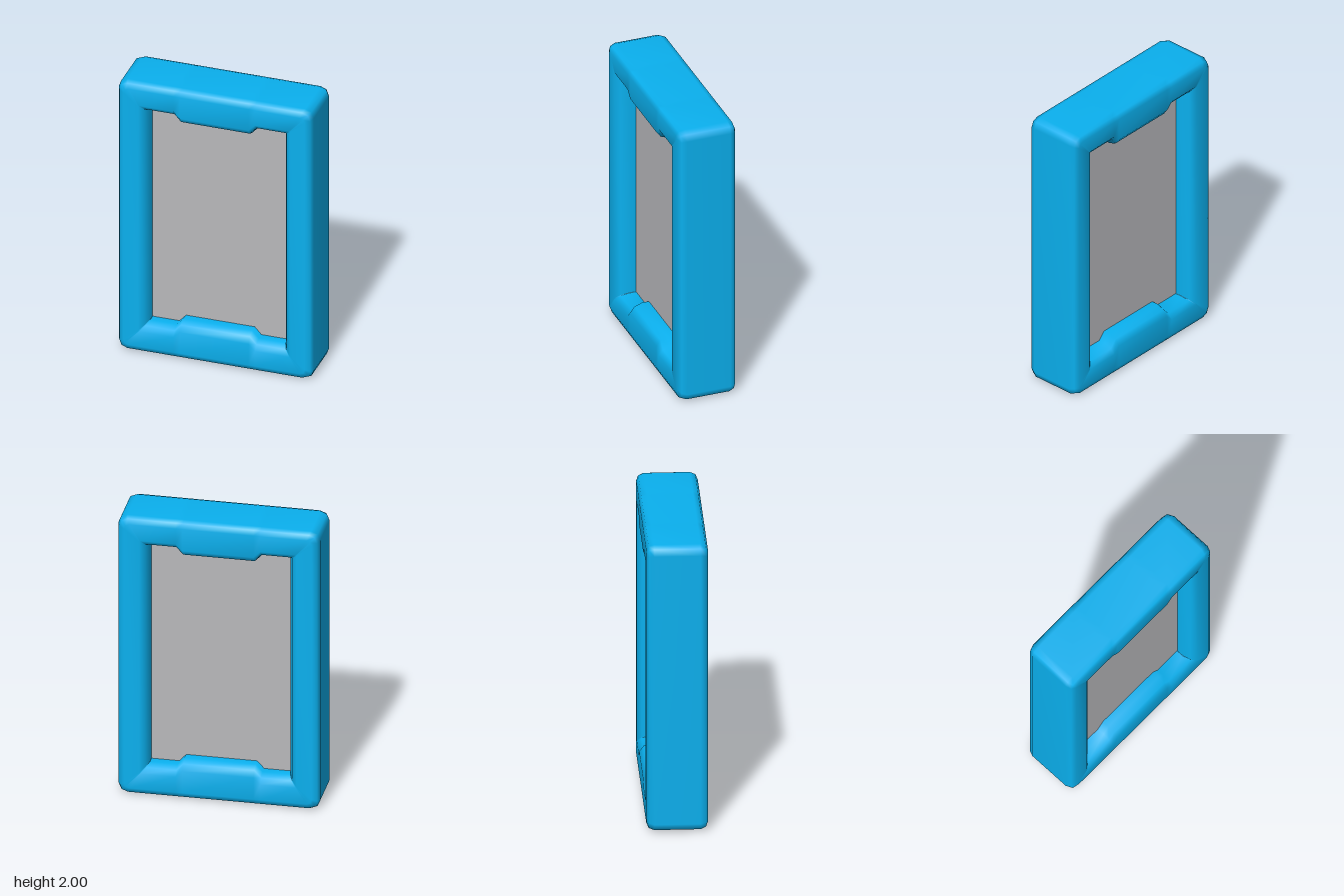
import * as THREE from 'three';

const CENTER_Y = 1;

// One loop round the frame, counter-clockwise: chamfered corners, with a tab
// of height "tab" stepping inwards at the middle of the top and bottom.
function frameLoop({ hx, hy, z, r, tab = 0 }) {
  const k = r * 0.29;
  const bottomRight = [[hx - r, -hy], [hx - k, -hy + k], [hx, -hy + r]];
  const topRight = [[hx, hy - r], [hx - k, hy - k], [hx - r, hy]];
  const topTab = [[0.28, hy], [0.235, hy - tab], [-0.235, hy - tab], [-0.28, hy]];
  const half = [...bottomRight, ...topRight, ...topTab];
  // The other half is the same one turned by 180 degrees
  const points = [...half, ...half.map(([x, y]) => [-x, -y])];
  return points.map(([x, y]) => [x, y + CENTER_Y, z]);
}

function frameGeometry() {
  // Front half of the cross-section, from the outer wall to the panel
  const front = [
    { hx: 0.667, hy: 1.0, z: 0.15, r: 0.06 },
    { hx: 0.653, hy: 0.987, z: 0.185, r: 0.055 },
    { hx: 0.62, hy: 0.953, z: 0.2, r: 0.035 },
    { hx: 0.52, hy: 0.842, z: 0.2, r: 0.006, tab: 0.045 },
    { hx: 0.485, hy: 0.807, z: 0.17, r: 0.005, tab: 0.05 },
    { hx: 0.465, hy: 0.787, z: 0.12, r: 0.004, tab: 0.05 },
    { hx: 0.465, hy: 0.787, z: 0.06, r: 0.004, tab: 0.05 },
  ];
  const back = front.map((s) => ({ ...s, z: -s.z })).reverse();
  const loops = [...front, ...back].map(frameLoop);
  const n = loops[0].length;
  const index = [];
  loops.forEach((_, i) => {
    const next = (i + 1) % loops.length;
    for (let j = 0; j < n; j++) {
      const k = (j + 1) % n;
      const a = i * n + j, b = i * n + k, c = next * n + k, d = next * n + j;
      index.push(a, b, c, a, c, d);
    }
  });
  const geometry = new THREE.BufferGeometry();
  geometry.setAttribute('position', new THREE.Float32BufferAttribute(loops.flat(2), 3));
  geometry.setIndex(index);
  geometry.computeVertexNormals();
  return geometry;
}

export function createModel() {
  const model = new THREE.Group();

  // Soft-edged frame, the same on both sides
  const frame = new THREE.Mesh(
    frameGeometry(),
    new THREE.MeshStandardMaterial({ color: 0x0ab0ee })
  );
  frame.name = 'frame';
  model.add(frame);

  // Panel filling the opening, recessed on both sides
  const panel = new THREE.Mesh(
    new THREE.BoxGeometry(0.935, 1.58, 0.14),
    new THREE.MeshStandardMaterial({ color: 0xb8b8bb })
  );
  panel.name = 'panel';
  panel.position.y = CENTER_Y;
  model.add(panel);

  return model;
}
